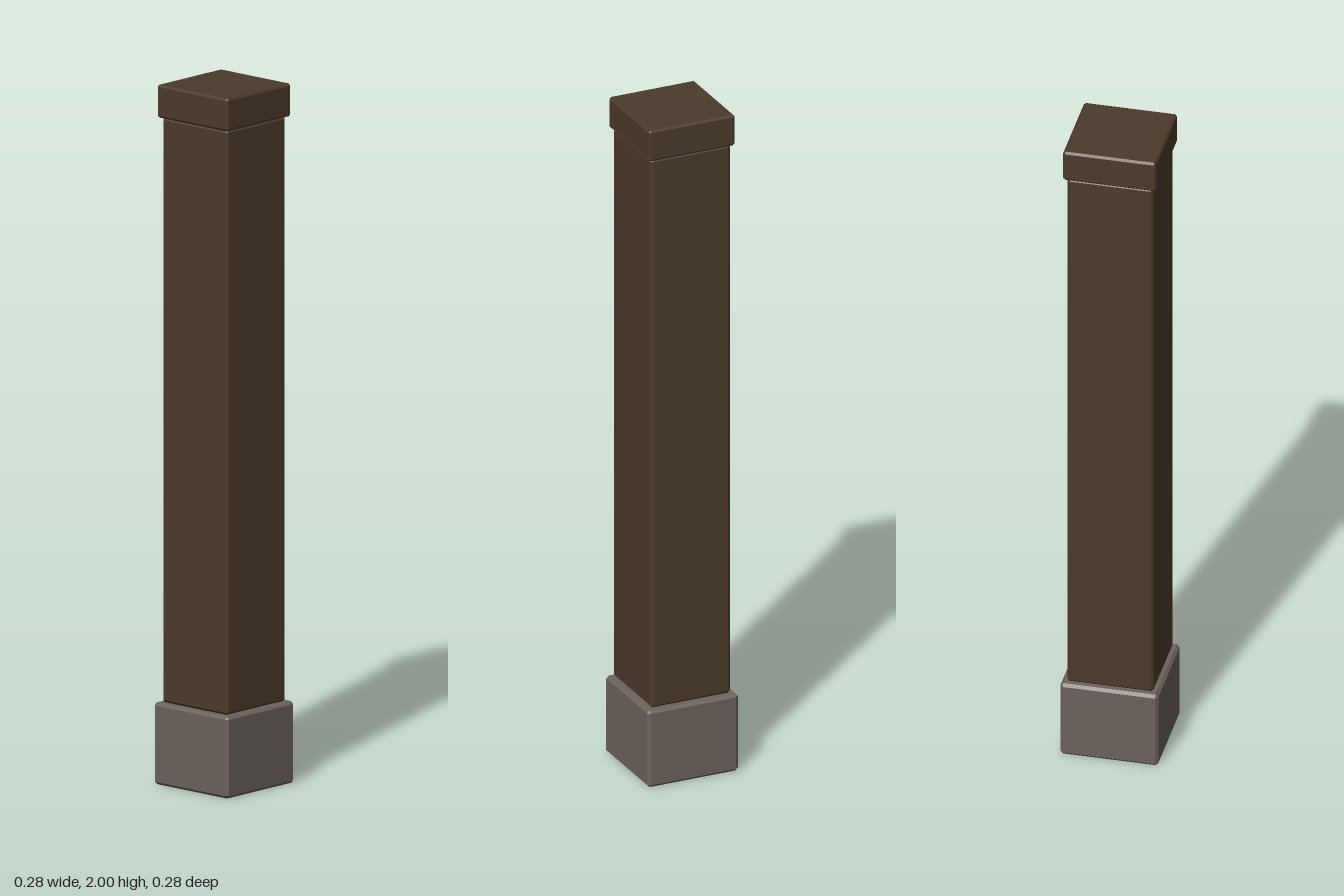
import * as THREE from 'three';
import { ConvexGeometry } from 'three/addons/geometries/ConvexGeometry.js';

// Box with flat chamfers along every edge, standing on y = 0
function chamferedBox(width, height, bevel) {
  const half = [width / 2, height / 2, width / 2];
  const points = [];
  for (const sx of [-1, 1]) for (const sy of [-1, 1]) for (const sz of [-1, 1]) {
    for (let axis = 0; axis < 3; axis++) {
      // each corner becomes three points, one on each adjoining face
      const [x, y, z] = half.map((h, i) => (i === axis ? h : h - bevel));
      points.push(new THREE.Vector3(sx * x, sy * y, sz * z));
    }
  }
  return new ConvexGeometry(points).translate(0, height / 2, 0);
}

export function createModel() {
  const wood = new THREE.MeshStandardMaterial({ name: 'dark wood', color: 0x4c3a2b });
  const stone = new THREE.MeshStandardMaterial({ name: 'grey stone', color: 0x6b625c });

  const post = new THREE.Group();
  post.name = 'post';

  function addBlock(name, material, width, bottom, top, bevel) {
    const mesh = new THREE.Mesh(chamferedBox(width, top - bottom, bevel), material);
    mesh.name = name;
    mesh.position.y = bottom;
    post.add(mesh);
  }

  addBlock('stoneFooting', stone, 0.28, 0, 0.234, 0.008);
  addBlock('shaft', wood, 0.246, 0.234, 1.906, 0.007);
  addBlock('cap', wood, 0.266, 1.906, 2, 0.006);

  return post;
}
